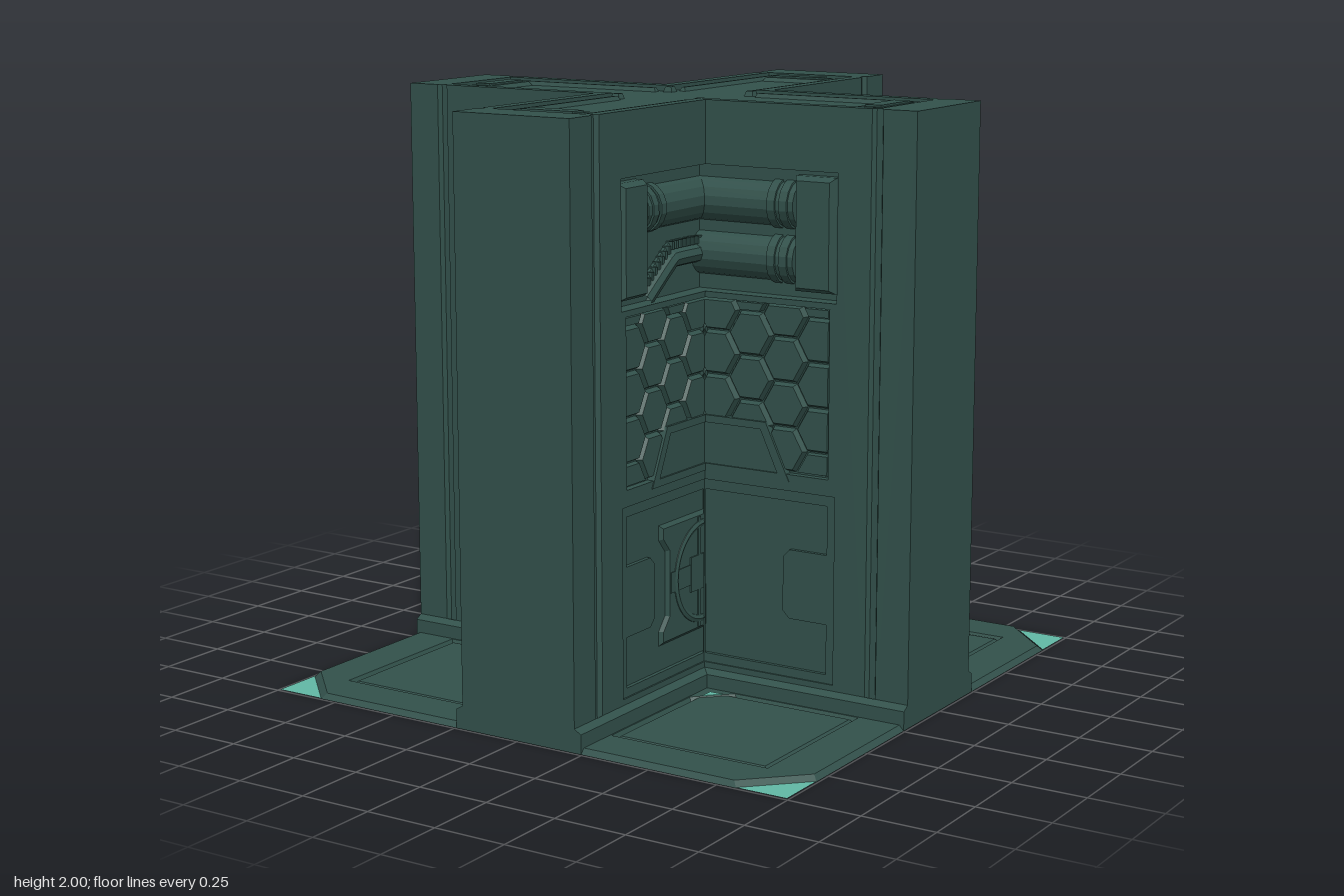
import * as THREE from 'three';
import { mergeGeometries } from 'three/addons/utils/BufferGeometryUtils.js';

const W = 0.22; // half thickness of the walls
const E = 0.994; // half width of the whole model
const v2 = p => new THREE.Vector2(p[0], p[1]);
const rect = (x0, y0, x1, y1) => [[x0, y0], [x1, y0], [x1, y1], [x0, y1]];
const inset = (x0, y0, x1, y1, d) => rect(x0 + d, y0 + d, x1 - d, y1 - d);
const mirror = pts => pts.map(([x, y]) => [-x, y]).reverse();
const spin4 = pts => {
  const out = [];
  let p = pts;
  for (let i = 0; i < 4; i++) { out.push(...p); p = p.map(([x, y]) => [-y, x]); }
  return out;
};

// Flat plate facing +z
function plate(pts, z, holes = []) {
  const s = new THREE.Shape(pts.map(v2));
  holes.forEach(h => s.holes.push(new THREE.Path(h.map(v2))));
  return new THREE.ShapeGeometry(s).translate(0, 0, z);
}

// Band of quads between two outlines at different heights
function strip(a, za, b, zb, closed = true) {
  const pos = [], n = a.length;
  for (let i = 0; i < (closed ? n : n - 1); i++) {
    const j = (i + 1) % n;
    pos.push(...a[i], za, ...a[j], za, ...b[j], zb, ...a[i], za, ...b[j], zb, ...b[i], zb);
  }
  const g = new THREE.BufferGeometry();
  g.setAttribute('position', new THREE.Float32BufferAttribute(pos, 3));
  return g;
}

// Raised (z1 > z0) or recessed (z1 < z0) panel with optional bevel
const raise = (pts, z0, z1, top = pts) => [strip(pts, z0, top, z1), plate(top, z1)];

// Keep the part of a convex polygon inside a rectangle
function clip(poly, x0, y0, x1, y1) {
  for (const [k, lim, sg] of [[0, x0, 1], [0, x1, -1], [1, y0, 1], [1, y1, -1]]) {
    const out = [];
    poly.forEach((p, i) => {
      const q = poly[(i + 1) % poly.length];
      const dp = sg * (p[k] - lim), dq = sg * (q[k] - lim);
      if (dp >= 0) out.push(p);
      if (dp * dq < 0) {
        const t = dp / (dp - dq);
        out.push([p[0] + (q[0] - p[0]) * t, p[1] + (q[1] - p[1]) * t]);
      }
    });
    poly = out;
  }
  return poly;
}

const rod = (x0, x1, y, z, r) => new THREE.CylinderGeometry(r, r, Math.abs(x1 - x0), 16)
  .rotateY(Math.PI / 16).rotateZ(Math.PI / 2).translate((x0 + x1) / 2, y, z);
const box = (w, h, d, x, y, z) => new THREE.BoxGeometry(w, h, d).translate(x, y, z);

function part(name, geoms, mat) {
  const flat = geoms.map(g => {
    const f = g.index ? g.toNonIndexed() : g;
    f.deleteAttribute('uv');
    f.computeVertexNormals();
    return f;
  });
  const m = new THREE.Mesh(mergeGeometries(flat), mat);
  m.name = name;
  return m;
}

// Half of one wall face, looking along +z; s = 1 right half, -1 left half
function wallHalf(s, mat) {
  const g = new THREE.Group();
  g.name = s > 0 ? 'wallRightHalf' : 'wallLeftHalf';
  const P = pts => (s > 0 ? pts : mirror(pts));
  const add = (name, geoms) => g.add(part(name, geoms, mat));

  add('wallFace', [plate(P([[W, 0], [0.835, 0], [0.835, 2], [W, 2], [W, 1.79], [0.715, 1.79], [0.715, 1.37],
    [W, 1.37], [W, 1.35], [0.69, 1.35], [0.69, 0.79], [W, 0.79], [W, 0.735], [0.715, 0.735], [0.715, 0.1], [W, 0.1]]), W)]);

  // Pipe niche with its end block
  add('pipeNiche', raise(P(rect(W - 0.06, 1.37, 0.715, 1.79)), W, W - 0.06));
  add('pipeBlock', [
    ...raise(P(rect(0.545, 1.395, 0.695, 1.77)), 0.16, 0.19),
    ...raise(P(rect(0.545, 1.395, 0.695, 1.77)), 0.19, 0.215, P(inset(0.545, 1.395, 0.695, 1.77, 0.014)))]);
  for (const y of s > 0 ? [1.67, 1.49] : [1.67]) {
    add('pipe', [rod(s * 0.16, s * 0.545, y, 0.136, 0.077)]);
    add('pipeCollars', [[0.45, 0.48], [0.495, 0.525]].map(([a, b]) => rod(s * a, s * b, y, 0.136, 0.084)));
  }

  // Honeycomb cells
  add('honeycombRecess', raise(P(rect(W - 0.025, 0.79, 0.69, 1.35)), W, W - 0.025));
  const cells = [], R = 0.086, dx = R * 1.5, dy = R * Math.sqrt(3);
  for (let i = 0; i < 7; i++) for (let j = 0; j < 6; j++) {
    const cx = i * dx, cy = 0.72 + (j + (i % 2) / 2) * dy;
    const hex = Array.from({ length: 6 }, (_, k) => [
      cx + R * 0.97 * Math.cos(k * Math.PI / 3), cy + R * 0.97 * Math.sin(k * Math.PI / 3)]);
    const c = clip(hex, 0.195, 0.795, 0.687, 1.347);
    if (c.length < 3) continue;
    const mx = c.reduce((t, p) => t + p[0], 0) / c.length, my = c.reduce((t, p) => t + p[1], 0) / c.length;
    const top = c.map(([x, y]) => [mx + (x - mx) * 0.88, my + (y - my) * 0.88]);
    cells.push(...raise(P(c), W - 0.025, W - 0.006, P(top)));
  }
  add('honeycomb', cells);
  // Sloped plate: a rim around a slightly sunken middle
  const rim = [[W, 0.765], [0.545, 0.765], [0.455, 0.955], [W, 0.955], [W, 0.93], [0.435, 0.93], [0.5, 0.79], [W, 0.79]];
  const middle = [[W - 0.004, 0.79], [0.5, 0.79], [0.435, 0.93], [W - 0.004, 0.93]];
  add('slopedPlate', [strip(P(rim), W - 0.025, P(rim), W + 0.003), plate(P(rim), W + 0.003), plate(P(middle), W - 0.004)]);

  // Lower panel: shallow frame with a side tab around a deeper field
  const step = W - 0.006, floor = W - 0.02;
  const tab = [[0.685, 0.3], [0.545, 0.3], [0.52, 0.325], [0.52, 0.51], [0.545, 0.535], [0.685, 0.535]];
  const outer = rect(step, 0.1, 0.715, 0.735);
  const field = [[floor, 0.13], [0.685, 0.13], ...tab, [0.685, 0.7], [floor, 0.7]];
  add('lowerFrame', [strip(P(outer), W, P(outer), step), plate(P([...outer, [step, 0.7], [0.685, 0.7],
    ...[...tab].reverse(), [0.685, 0.13], [step, 0.13]]), step)]);
  add('lowerField', raise(P(field), step, floor));

  if (s < 0) {
    // Bent cable with ribs
    const path = (o, z) => new THREE.CatmullRomCurve3([[-0.16, 1.49], [-0.36, 1.49], [-0.52, 1.375]]
      .map(([x, y]) => new THREE.Vector3(x, y + o, z)), false, 'catmullrom', 0.08);
    add('cable', [new THREE.TubeGeometry(path(0, 0.175), 20, 0.03, 8)]);
    add('ribbedCable', [new THREE.TubeGeometry(path(0.045, 0.165), 20, 0.012, 6),
      ...path(0.045, 0.17).getSpacedPoints(16).slice(1, -1).map(p => box(0.012, 0.026, 0.03, p.x, p.y, p.z))]);
    // Half hatch in the corner
    add('hatchFrame', raise([[-0.475, 0.215], [-0.2, 0.215], [-0.2, 0.625], [-0.475, 0.625], [-0.475, 0.575],
      [-0.437, 0.53], [-0.437, 0.31], [-0.475, 0.265]], floor, floor + 0.012,
    [[-0.463, 0.227], [-0.2, 0.227], [-0.2, 0.613], [-0.463, 0.613], [-0.463, 0.578],
      [-0.425, 0.533], [-0.425, 0.307], [-0.463, 0.262]]));
    add('hatchRing', [new THREE.TorusGeometry(0.165, 0.017, 8, 24, Math.PI)
      .rotateZ(Math.PI / 2).translate(-W, 0.42, W - 0.018)]);
    add('hatchBars', [box(0.2, 0.07, 0.02, -0.32, 0.42, floor + 0.005),
      box(0.08, 0.12, 0.02, -0.26, 0.42, floor + 0.007), box(0.015, 0.38, 0.02, -0.245, 0.42, floor + 0.006)]);
  }
  return g;
}

export function createModel() {
  const model = new THREE.Group();
  model.name = 'crossWall';
  const green = new THREE.MeshStandardMaterial({ color: 0x32514b, side: THREE.DoubleSide });
  green.name = 'darkGreen';
  const teal = new THREE.MeshStandardMaterial({ color: 0x62b8a5, side: THREE.DoubleSide });
  teal.name = 'teal';

  // Plan outline of a pillar side with its bevelled groove
  const slot = [[E, W], [0.875, W], [0.866, W - 0.015], [0.844, W - 0.015], [0.835, W]];
  const slotB = slot.map(([x, y]) => [x, -y]).reverse();

  for (let i = 0; i < 4; i++) {
    const arm = new THREE.Group();
    arm.name = 'wallSide';
    arm.rotation.y = i * Math.PI / 2;
    arm.add(wallHalf(1, green), wallHalf(-1, green));
    const half = [[0.245, 0], [0.245, 0.065], [W, 0.08], [W, 2]];
    arm.add(part('pillarEnd', [plate([...half, ...mirror(half)], E)], green));

    // Plan-drawn parts: x across, y towards the back, z up
    const plan = new THREE.Group();
    plan.name = 'planParts';
    plan.rotation.x = -Math.PI / 2;
    const add = (name, geoms, mat = green) => plan.add(part(name, geoms, mat));

    add('pillarSides', [strip(slot, 0, slot, 2, false), strip(slotB, 0, slotB, 2, false)]);
    const L = d => [[E, d], [d, d], [d, E]];
    add('skirting', [strip(L(0.245), 0, L(0.245), 0.065, false), strip(L(0.245), 0.065, L(W), 0.08, false)]);

    // Floor tile: chamfered sheet, square groove and centre panel
    const h = 0.018, low = 0.003;
    const sq = rect(0.25, 0.25, 0.83, 0.83), sqLow = inset(0.25, 0.25, 0.83, 0.83, 0.007);
    const edge = [[0.2, 0.2], [0.978, 0.2], [0.978, 0.8], [0.8, 0.978], [0.2, 0.978]];
    const foot = [[0.2, 0.2], [E, 0.2], [E, 0.815], [0.815, E], [0.2, E]];
    add('floorTile', [plate(edge, h, [sq]), strip(foot, 0, edge, h), strip(sq, h, sqLow, low), plate(sqLow, low)]);
    add('tilePanel', raise(inset(0.25, 0.25, 0.83, 0.83, 0.012), low, h - 0.004, inset(0.25, 0.25, 0.83, 0.83, 0.022)));
    add('innerCorner', raise([[0.25, 0.25], [0.375, 0.25], [0.25, 0.375]], low, h, [[0.25, 0.25], [0.36, 0.25], [0.25, 0.36]]));
    add('cornerMark', [plate([[E, 0.815], [E, E], [0.815, E]], 0.002),
      ...raise([[0.28, 0.28], [0.33, 0.28], [0.28, 0.33]], h, h + 0.002)], teal);

    // Ribs and end bracket on top of the arm
    const t = 1.98;
    add('topRibs', [-0.149, 0.125].flatMap(y => raise(rect(0.2, y, 0.82, y + 0.024), t, t + 0.014,
      inset(0.2, y, 0.82, y + 0.024, 0.007))));
    add('topBracket', [...raise(rect(0.715, -0.122, 0.82, 0.122), t, t + 0.014, inset(0.715, -0.122, 0.82, 0.122, 0.01)),
      ...raise(rect(0.742, -0.098, 0.8, 0.098), t + 0.014, t + 0.02)]);
    add('topStud', raise(rect(0.145, 0.145, 0.18, 0.18), t, t + 0.018, inset(0.145, 0.145, 0.18, 0.18, 0.006)));
    arm.add(plan);
    model.add(arm);
  }

  // Top rim with a recessed cross channel
  const outer = spin4([[W, -W], ...slotB, ...slot]);
  const inner = spin4([[0.175, -0.175], [0.85, -0.175], [0.85, 0.175]]);
  const top = part('topCover', [plate(outer, 2, [inner]), ...raise(inner, 2, 1.98)], green);
  top.rotation.x = -Math.PI / 2;
  model.add(top);
  return model;
}
